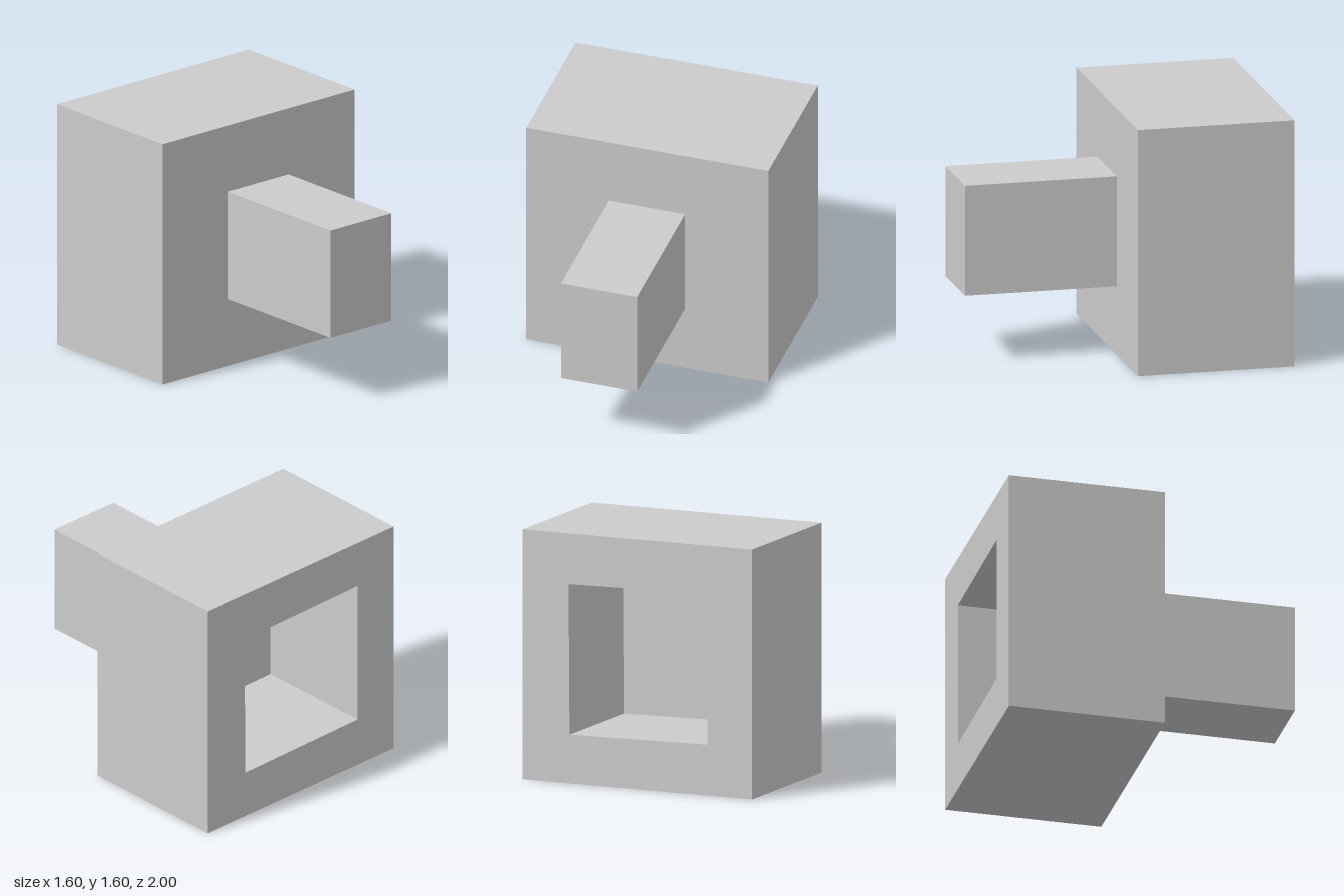
import * as THREE from 'three';

const material = new THREE.MeshStandardMaterial({ color: 0xcccccc, flatShading: true });

// Box given by its minimum and maximum corners
function block(name, [x0, y0, z0], [x1, y1, z1]) {
  const mesh = new THREE.Mesh(new THREE.BoxGeometry(x1 - x0, y1 - y0, z1 - z0), material);
  mesh.name = name;
  mesh.position.set((x0 + x1) / 2, (y0 + y1) / 2, (z0 + z1) / 2);
  return mesh;
}

export function createModel() {
  const model = new THREE.Group();
  model.name = 'hollowBlock';

  const half = 0.8, back = -1, floor = -0.2, front = 0.015;

  // Body walls around a square recess that opens to the back, very slightly turned
  const outline = new THREE.Shape([
    new THREE.Vector2(-half, 0), new THREE.Vector2(half, 0),
    new THREE.Vector2(half, 1.6), new THREE.Vector2(-half, 1.6),
  ]);
  outline.holes.push(new THREE.Path([
    new THREE.Vector2(-0.49, 0.326), new THREE.Vector2(-0.488, 1.29),
    new THREE.Vector2(0.48, 1.275), new THREE.Vector2(0.473, 0.312),
  ]));
  const walls = new THREE.Mesh(
    new THREE.ExtrudeGeometry(outline, { depth: floor - back, bevelEnabled: false }), material);
  walls.name = 'bodyWalls';
  walls.position.z = back;
  model.add(walls);

  // Front plate closes the recess
  model.add(block('frontPlate', [-half, 0, floor], [half, 1.6, front]));

  // Solid bar standing out of the front
  model.add(block('frontBar', [-0.255, 0.445, front], [0.25, 1.16, 1]));

  return model;
}
